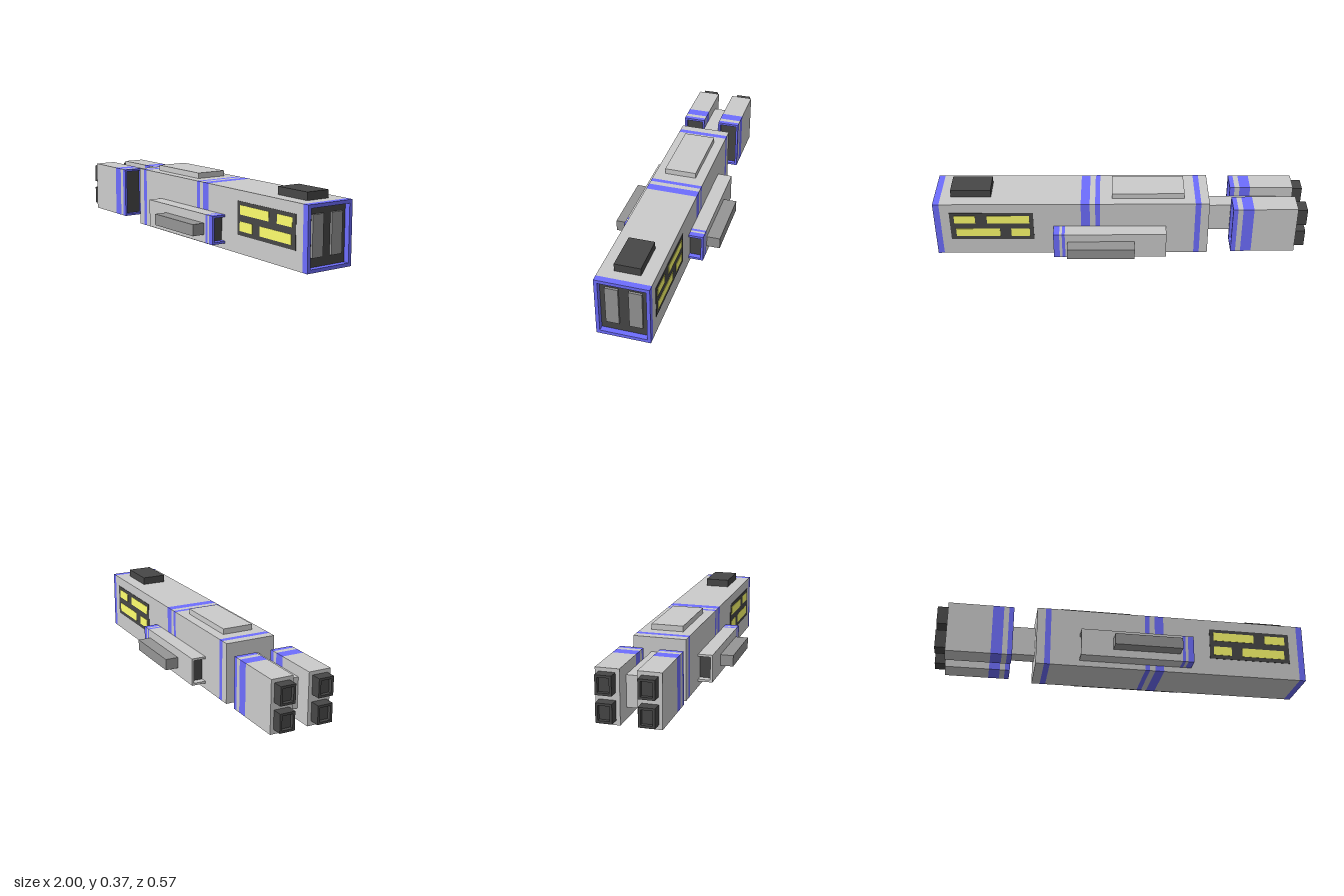
import * as THREE from 'three';

const mat = (color) => new THREE.MeshStandardMaterial({ color, flatShading: true });
const GREY = mat(0xcccccc), MID = mat(0x959595), DARK = mat(0x474747);
const BLUE = mat(0x6e6eff), YELLOW = mat(0xffff6e);

// Box given by its limits on each axis
function box(parent, name, material, [x0, x1], [y0, y1], [z0, z1]) {
  const mesh = new THREE.Mesh(new THREE.BoxGeometry(x1 - x0, y1 - y0, z1 - z0), material);
  mesh.position.set((x0 + x1) / 2, (y0 + y1) / 2, (z0 + z1) / 2);
  mesh.name = name;
  parent.add(mesh);
}

// Rectangular frame, open along x
function frame(parent, name, material, [x0, x1], [y0, y1], [z0, z1], t) {
  const rect = (path, w, h) => path.moveTo(-w, -h).lineTo(w, -h).lineTo(w, h).lineTo(-w, h).closePath();
  const w = (z1 - z0) / 2, h = (y1 - y0) / 2;
  const shape = rect(new THREE.Shape(), w, h);
  shape.holes.push(rect(new THREE.Path(), w - t, h - t));
  const geo = new THREE.ExtrudeGeometry(shape, { depth: x1 - x0, bevelEnabled: false });
  geo.rotateY(Math.PI / 2);
  const mesh = new THREE.Mesh(geo, material);
  mesh.position.set(x0, (y0 + y1) / 2, (z0 + z1) / 2);
  mesh.name = name;
  parent.add(mesh);
}

// Banded block along x; a segment with a rim thickness is hollow, with a dark floor
function banded(parent, name, ys, zs, segments) {
  const group = new THREE.Group();
  group.name = name;
  segments.forEach(([x0, x1, material, rim], i) => {
    const part = material === BLUE ? 'band' : 'section';
    if (!rim) return box(group, part, material, [x0, x1], ys, zs);
    frame(group, 'rim', material, [x0, x1], ys, zs, rim);
    const floor = i === 0 ? [x1 - 0.004, x1] : [x0, x0 + 0.004];
    box(group, 'recessFloor', DARK, floor, [ys[0] + rim, ys[1] - rim], [zs[0] + rim, zs[1] - rim]);
  });
  parent.add(group);
}

export function createModel() {
  const model = new THREE.Group();
  model.name = 'spacecraft';

  // Main hull with painted bands and a recessed end
  banded(model, 'hull', [0, 0.325], [-0.138, 0.138], [
    [-0.475, -0.43, GREY], [-0.43, -0.4, BLUE], [-0.4, 0.11, GREY], [0.11, 0.135, BLUE],
    [0.135, 0.164, GREY], [0.164, 0.212, BLUE], [0.212, 0.966, GREY], [0.966, 1, BLUE, 0.018],
  ]);
  for (const z of [-0.0595, 0.0595])
    box(model, 'bayDoor', MID, [0.966, 0.982], [0.065, 0.272], [z - 0.0335, z + 0.0335]);

  // Roof plates and rear connector
  box(model, 'roofPlate', GREY, [-0.343, 0.045], [0.325, 0.355], [-0.085, 0.085]);
  box(model, 'roofHatch', DARK, [0.695, 0.91], [0.325, 0.366], [-0.067, 0.067]);
  box(model, 'connector', GREY, [-0.855, -0.475], [0.086, 0.248], [-0.043, 0.043]);

  for (const s of [1, -1]) {
    const side = new THREE.Group();
    side.name = s > 0 ? 'frontSide' : 'backSide';
    model.add(side);
    const span = (a, b) => (s > 0 ? [a, b] : [-b, -a]);

    // Side pod, open at both ends, with an outer slab
    banded(side, 'sidePod', [0.031, 0.181], span(0.12, 0.216), [
      [-0.245, -0.205, GREY, 0.012], [-0.205, 0.298, GREY], [0.298, 0.314, BLUE],
      [0.314, 0.328, GREY], [0.328, 0.36, BLUE, 0.012],
    ]);
    box(side, 'podSlab', MID, [-0.075, 0.285], [0.073, 0.134], span(0.21, 0.287));

    // Window panel
    box(side, 'windowPanel', DARK, [0.468, 0.917], [0.096, 0.27], span(0.13, 0.14));
    for (const [x0, x1, y0, y1] of [
      [0.49, 0.717, 0.203, 0.251], [0.78, 0.893, 0.203, 0.251],
      [0.49, 0.59, 0.118, 0.168], [0.65, 0.887, 0.118, 0.168],
    ]) box(side, 'window', YELLOW, [x0, x1], [y0, y1], span(0.135, 0.142));

    // Engine with a recessed intake and two nozzles
    banded(side, 'engine', [0.027, 0.304], span(0.043, 0.163), [
      [-0.945, -0.711, GREY], [-0.711, -0.653, BLUE], [-0.653, -0.626, GREY],
      [-0.626, -0.6, BLUE, 0.012],
    ]);
    for (const y of [0.1, 0.236]) {
      frame(side, 'nozzle', DARK, [-1, -0.945], [y - 0.049, y + 0.049], span(0.063, 0.145), 0.012);
      box(side, 'nozzleCore', DARK, [-0.98, -0.945], [y - 0.037, y + 0.037], span(0.075, 0.133));
    }
  }
  return model;
}
